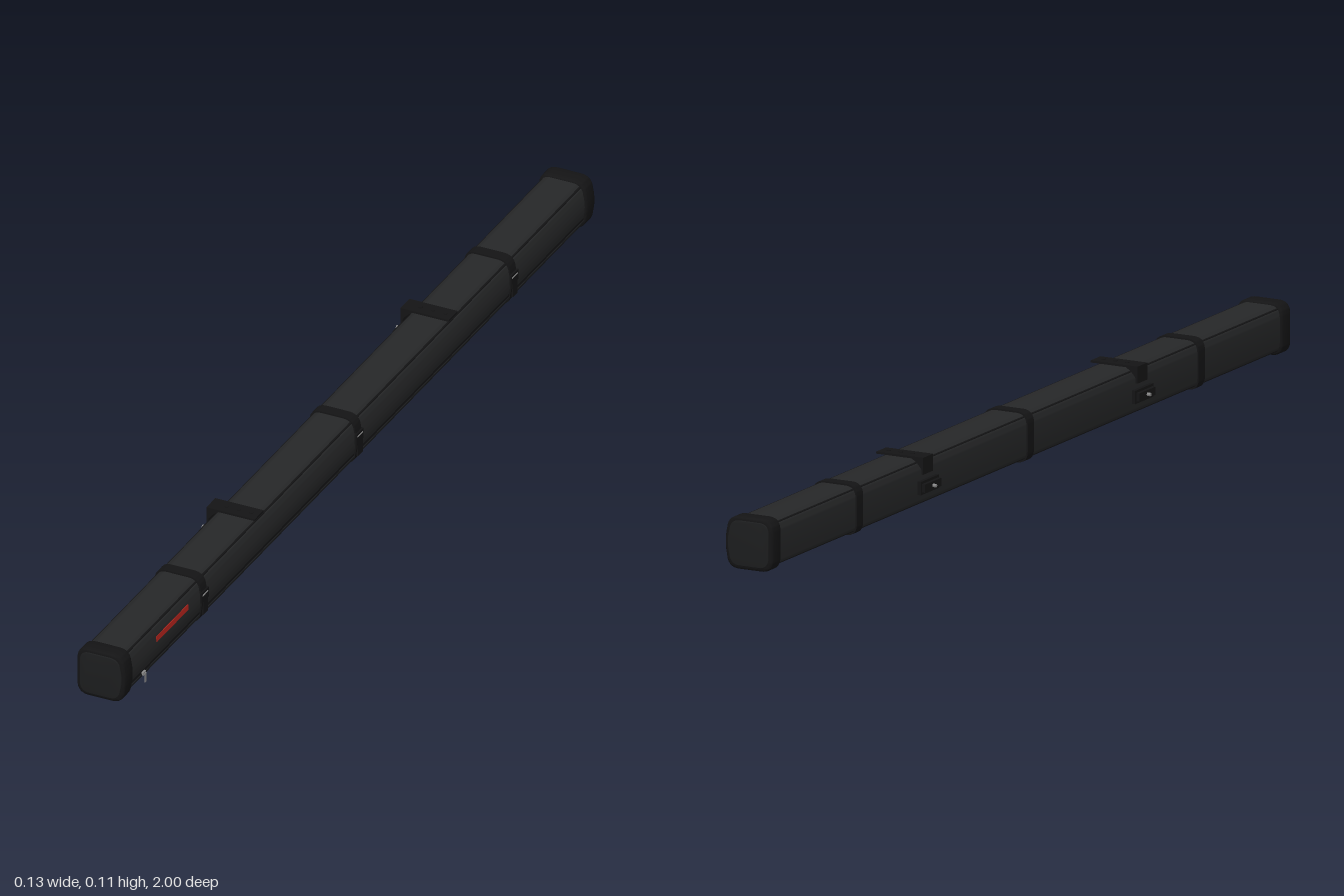
import * as THREE from 'three';
import { toCreasedNormals } from 'three/addons/utils/BufferGeometryUtils.js';

const material = (color) => new THREE.MeshStandardMaterial({ color });
const fabric = material(0x262728);
const dark = material(0x141415);
const capMat = material(0x1c1d1e);
const red = material(0xb3241c);
const grey = material(0x8a8a8a);

// Rounded case section with a slightly bulging outer side, shrunk by d
function section(d, Type = THREE.Shape) {
  const x0 = -0.04 + d, x1 = 0.057 - d, y0 = 0.002 + d, y1 = 0.104 - d, r = 0.025 - d * 0.6;
  const s = new Type();
  s.moveTo(x0 + r, y0);
  s.lineTo(x1 - r, y0);
  s.quadraticCurveTo(x1, y0, x1 + 0.002, y0 + r);
  s.quadraticCurveTo(x1 + 0.008, (y0 + y1) / 2, x1 + 0.002, y1 - r);
  s.quadraticCurveTo(x1, y1, x1 - r, y1);
  s.lineTo(x0 + r, y1);
  s.quadraticCurveTo(x0, y1, x0, y1 - r);
  s.lineTo(x0, y0 + r);
  s.quadraticCurveTo(x0, y0, x0 + r, y0);
  return s;
}

function extrude(shape, depth, z, bevel = 0) {
  const g = new THREE.ExtrudeGeometry(shape, {
    depth: depth - 2 * bevel, curveSegments: 10, bevelEnabled: bevel > 0,
    bevelSize: bevel, bevelThickness: bevel, bevelOffset: -bevel, bevelSegments: 3,
  });
  g.translate(0, 0, z - depth / 2 + bevel);
  return toCreasedNormals(g, 0.6);
}

function add(parent, name, geometry, mat, x = 0, y = 0, z = 0) {
  const m = new THREE.Mesh(geometry, mat);
  m.name = name;
  m.position.set(x, y, z);
  parent.add(m);
  return m;
}
const box = (w, h, d) => new THREE.BoxGeometry(w, h, d);
const rod = (r, len, sides = 12) => new THREE.CylinderGeometry(r, r, len, sides);

// Strap around the case with a buckle on the outer side
function strap(z) {
  const g = new THREE.Group();
  g.name = 'strap';
  const ring = section(0.0015);
  ring.holes.push(section(0.006, THREE.Path));
  add(g, 'strapBand', extrude(ring, 0.024, z), dark);
  add(g, 'buckle', box(0.004, 0.022, 0.03), dark, 0.0595, 0.062, z);
  add(g, 'buckleBar', rod(0.0013, 0.022).rotateX(Math.PI / 2), grey, 0.0615, 0.066, z);
  add(g, 'strapTail', box(0.003, 0.03, 0.02), dark, 0.0595, 0.037, z - 0.003);
  return g;
}

// Mounting bracket: angle plate, web and clamping knob
function bracket(z) {
  const g = new THREE.Group();
  g.name = 'mountingBracket';
  g.position.z = z;
  add(g, 'topPlate', box(0.101, 0.004, 0.038), dark, 0.003, 0.104, 0);
  add(g, 'sideFlange', box(0.004, 0.033, 0.038), dark, -0.046, 0.0895, 0);
  const web = new THREE.Shape();
  web.moveTo(-0.046, 0.104);
  web.lineTo(-0.046, 0.076);
  web.quadraticCurveTo(-0.041, 0.092, -0.018, 0.104);
  for (const s of [-1, 1]) add(g, 'cornerWeb', extrude(web, 0.004, s * 0.016), dark);
  for (const x of [-0.015, 0.011, 0.037])
    add(g, 'plateRivet', rod(0.004, 0.002), dark, x, 0.1065, 0);
  add(g, 'clampBar', box(0.007, 0.026, 0.07), dark, -0.0485, 0.05, 0);
  add(g, 'clampRib', box(0.007, 0.016, 0.062), dark, -0.0555, 0.05, 0);
  add(g, 'clampStem', rod(0.004, 0.014).rotateZ(Math.PI / 2), dark, -0.041, 0.05, 0);
  add(g, 'clampBolt', rod(0.0035, 0.012, 6).rotateZ(Math.PI / 2), grey, -0.06, 0.05, 0);
  return g;
}

export function createModel() {
  const model = new THREE.Group();
  model.name = 'awningCase';

  // Long soft case
  add(model, 'caseBody', extrude(section(0.0045), 1.95, 0), fabric);

  // End caps with a raised rim and an end panel
  for (const s of [-1, 1]) {
    add(model, 'endCap', extrude(section(0), 0.036, s * 0.98, 0.005), dark);
    add(model, 'endPanel', extrude(section(0.007), 0.004, s * 0.998, 0.0015), capMat);
  }

  // Piping on the upper edges and the lower back edge
  for (const [x, y] of [[-0.029, 0.0925], [0.047, 0.093], [-0.029, 0.0135]])
    add(model, 'piping', rod(0.0025, 1.93, 8).rotateX(Math.PI / 2), dark, x, y);

  // Zip along the lower outer side, with its pull
  add(model, 'zipTape', box(0.003, 0.012, 1.93), dark, 0.0535, 0.024, 0);
  add(model, 'zipTeeth', box(0.002, 0.003, 1.93), capMat, 0.0555, 0.023, 0);
  add(model, 'zipSlider', box(0.004, 0.006, 0.012), grey, 0.0575, 0.025, 0.91);
  add(model, 'zipPull', box(0.0015, 0.02, 0.006), grey, 0.061, 0.016, 0.91);

  // Coloured patch
  add(model, 'colourPatch', box(0.002, 0.011, 0.135), red, 0.0562, 0.068, 0.787).rotation.z = 0.08;

  for (const z of [-0.657, 0, 0.657]) model.add(strap(z));
  for (const z of [-0.412, 0.412]) model.add(bracket(z));
  return model;
}
